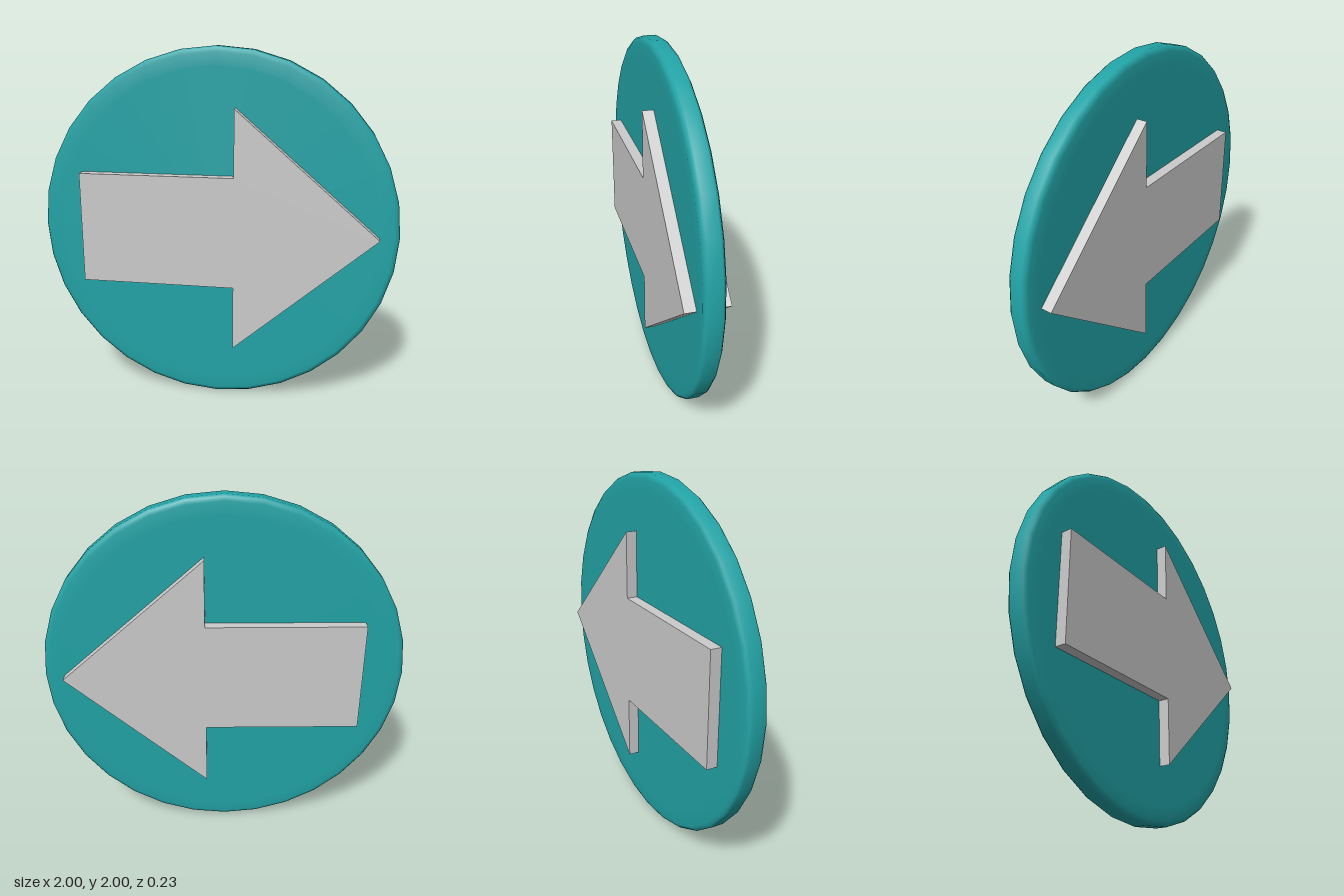
import * as THREE from 'three';

export function createModel() {
  const model = new THREE.Group();

  // Round plate with a softened rim, standing upright
  const half = 0.055;
  const profile = [
    [0, -half], [0.9, -half], [0.97, -half], [0.99, -0.045], [1, -0.032],
    [1, 0.032], [0.99, 0.045], [0.97, half], [0.9, half], [0, half],
  ].map(([r, y]) => new THREE.Vector2(r, y));
  const plate = new THREE.Mesh(
    new THREE.LatheGeometry(profile, 32).rotateX(Math.PI / 2),
    new THREE.MeshStandardMaterial({ color: 0x22a3a6 }),
  );
  plate.name = 'roundPlate';
  plate.position.y = 1;
  model.add(plate);

  // Arrow passing through the plate, raised on both faces
  const depth = 0.23;
  const outline = new THREE.Shape([
    [-0.76, -0.313], [0.105, -0.313], [0.105, -0.682], [0.89, 0],
    [0.105, 0.682], [0.105, 0.313], [-0.76, 0.313],
  ].map(([x, y]) => new THREE.Vector2(x, y)));
  const arrow = new THREE.Mesh(
    new THREE.ExtrudeGeometry(outline, { depth, bevelEnabled: false }),
    new THREE.MeshStandardMaterial({ color: 0xcccccc }),
  );
  arrow.name = 'arrow';
  arrow.position.set(0, 1.002, -depth / 2);
  model.add(arrow);

  return model;
}
